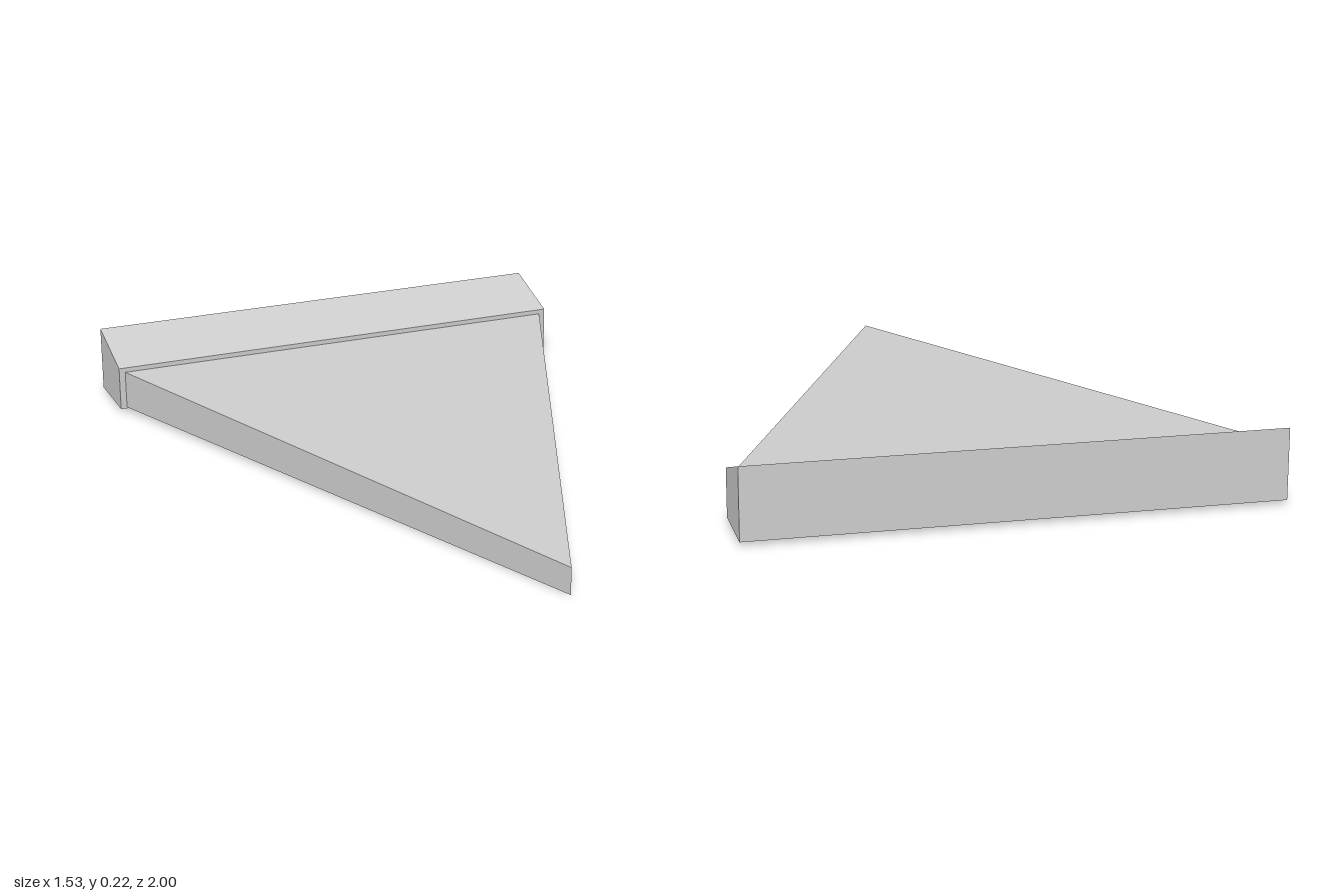
import * as THREE from 'three';

const material = new THREE.MeshStandardMaterial({ color: 0xcccccc, flatShading: true });
const JOIN = -0.785; // z where the wedge meets the crust

// Straight extrusion of a polygon given as [x, y] corners
function prism(corners, depth) {
  const shape = new THREE.Shape(corners.map(([x, y]) => new THREE.Vector2(x, y)));
  return new THREE.ExtrudeGeometry(shape, { depth, bevelEnabled: false });
}

export function createModel() {
  const model = new THREE.Group();
  model.name = 'slice';

  // Triangular wedge, thickening and rising from the tip to the crust
  const wedgeGeometry = prism([[0, -1], [0.745, -JOIN], [-0.745, -JOIN]], 1);
  wedgeGeometry.rotateX(-Math.PI / 2);
  const pos = wedgeGeometry.attributes.position;
  for (let i = 0; i < pos.count; i++) {
    const t = (1 - pos.getZ(i)) / (1 - JOIN);
    const bottom = 0.016 * t;
    const top = 0.083 + 0.055 * t;
    pos.setY(i, pos.getY(i) > 0.5 ? top : bottom);
  }
  wedgeGeometry.computeVertexNormals();
  const wedge = new THREE.Mesh(wedgeGeometry, material);
  wedge.name = 'wedge';
  model.add(wedge);

  // Crust bar: a side profile with a sloping top, run across the back
  const width = 1.53;
  const crustGeometry = prism([[-1, 0.012], [JOIN, 0.012], [JOIN, 0.153], [-1, 0.22]], width);
  crustGeometry.rotateY(-Math.PI / 2).translate(width / 2, 0, 0);
  const crust = new THREE.Mesh(crustGeometry, material);
  crust.name = 'crust';
  model.add(crust);

  return model;
}
